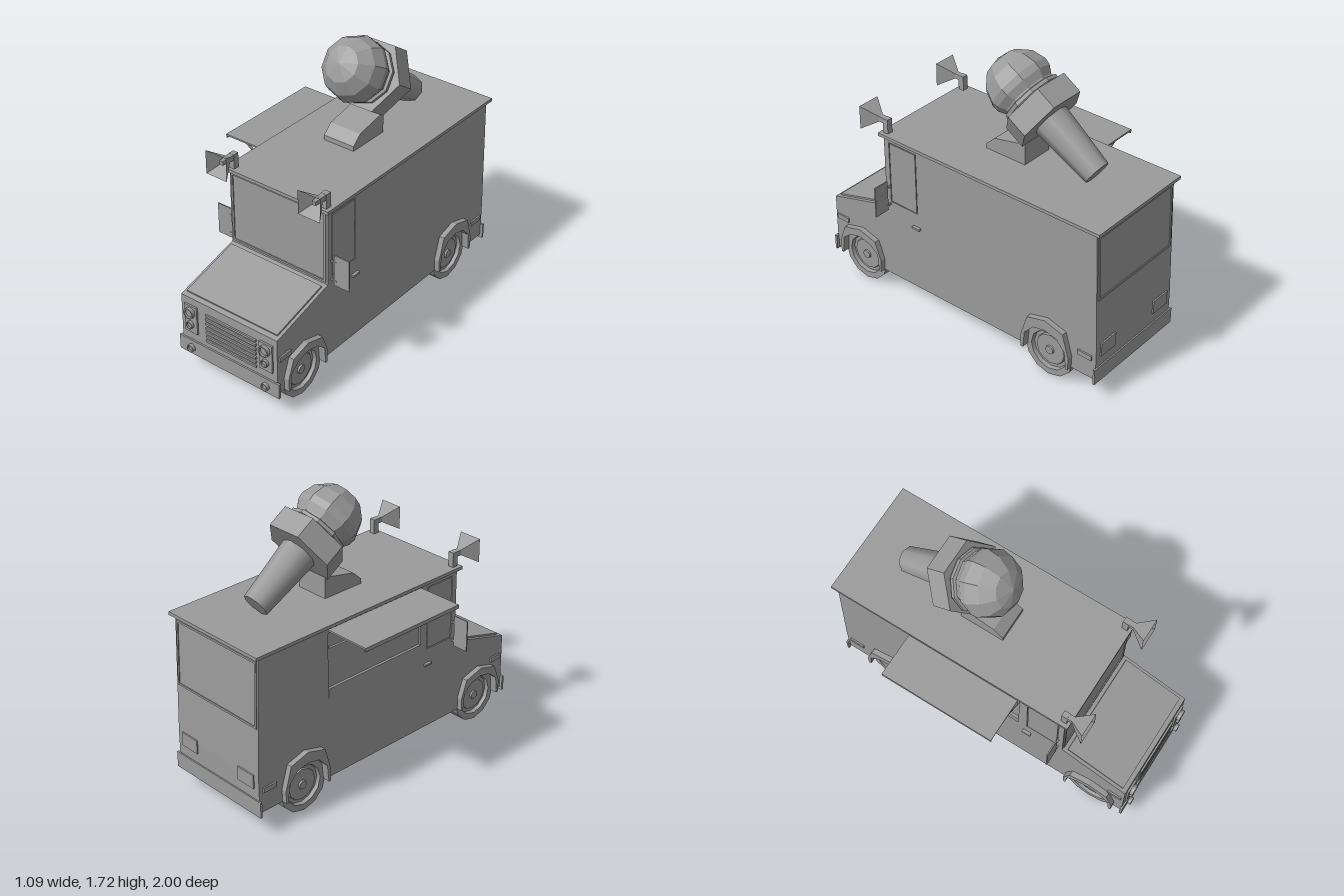
import * as THREE from 'three';
import { toCreasedNormals } from 'three/addons/utils/BufferGeometryUtils.js';

const COLOR = 0x9b9b9b;
const grey = new THREE.MeshStandardMaterial({ color: COLOR });
const flat = new THREE.MeshStandardMaterial({ color: COLOR, flatShading: true });
const thin = new THREE.MeshStandardMaterial({ color: COLOR, flatShading: true, side: THREE.DoubleSide });

function add(parent, name, geo, x = 0, y = 0, z = 0, mat = grey) {
  const m = new THREE.Mesh(geo, mat);
  m.name = name;
  m.position.set(x, y, z);
  parent.add(m);
  return m;
}
const box = (w, h, d) => new THREE.BoxGeometry(w, h, d);
const polygon = (pts, Type = THREE.Shape) => new Type(pts.map(([a, b]) => new THREE.Vector2(a, b)));
const rect = (x0, x1, y0, y1) => [[x0, y0], [x1, y0], [x1, y1], [x0, y1]];

// Side outline given as [z, y], swept across the width from x0 to x1
function sideExtrude(pts, x0, x1, holes = []) {
  const s = polygon(pts);
  for (const h of holes) s.holes.push(polygon(h, THREE.Path));
  return new THREE.ExtrudeGeometry(s, { depth: x1 - x0, bevelEnabled: false })
    .rotateY(-Math.PI / 2).translate(x1, 0, 0);
}

// Rectangular frame facing +z
function frame(w, h, t, d) {
  const s = polygon(rect(-w / 2, w / 2, -h / 2, h / 2));
  s.holes.push(polygon(rect(t - w / 2, w / 2 - t, t - h / 2, h / 2 - t), THREE.Path));
  return new THREE.ExtrudeGeometry(s, { depth: d, bevelEnabled: false });
}

const lathe = (pts, n) => new THREE.LatheGeometry(pts.map(([r, y]) => new THREE.Vector2(r, y)), n);

// Round lamp with a raised rim, facing +z
const lamp = (r, d) => toCreasedNormals(
  lathe([[0, 0], [r, 0], [r, d], [r * 0.78, d], [r * 0.7, d * 0.6], [0, d * 0.75]], 12).rotateX(Math.PI / 2), 0.7);

const WHEELS = [[0.745, 'front', 0], [-0.66, 'rear', 0.03]];
const HALF = 0.342;
const SKIN = 0.012;

function addBody(g) {
  const arch = (z, e) => [[z - 0.165, 0.14], [z - 0.15, 0.25], [z - 0.085, 0.31 + e / 2],
    [z, 0.325 + e / 2], [z + 0.085, 0.31 + e / 2], [z + 0.15, 0.25], [z + 0.165, 0.14]];
  const outline = [[-0.99, 0.14], ...arch(-0.66, 0.03), ...arch(0.745, 0), [0.968, 0.14],
    [0.965, 0.5], [0.535, 0.62], [0.535, 1.09], [-0.965, 1.09], [-0.99, 0.35]];
  const hatch = rect(-0.475, 0.24, 0.65, 1.05);
  const doorHole = rect(0.295, 0.5, 0.66, 1.06);
  add(g, 'body', sideExtrude(outline, SKIN - HALF, HALF - SKIN));
  add(g, 'servingSideWall', sideExtrude(outline, -HALF, SKIN - HALF, [hatch, doorHole]));
  add(g, 'plainSideWall', sideExtrude(outline, HALF - SKIN, HALF, [doorHole]));
  add(g, 'roof', box(0.724, 0.02, 1.555), 0, 1.1, -0.217);

  // Windscreen, bonnet and rear window
  add(g, 'windscreenFrame', frame(0.66, 0.444, 0.012, 0.008), 0, 0.857, 0.533);
  const hood = add(g, 'bonnetPanel', box(0.645, 0.014, 0.39), 0, 0.564, 0.75);
  hood.rotation.x = 0.273;
  const rear = add(g, 'rearWindowFrame', frame(0.66, 0.4, 0.012, 0.006), 0, 0.865, -0.972);
  rear.rotation.set(0.034, Math.PI, 0);

  // Door windows, handles, marker lamps and wheel arch flares on both sides
  for (const s of [-1, 1]) {
    add(g, 'doorWindow', box(SKIN, 0.388, 0.193), s * (HALF - SKIN / 2), 0.86, 0.3975);
    add(g, 'doorHandle', box(0.02, 0.012, 0.055), s * (HALF + 0.008), 0.565, 0.3);
    add(g, 'frontMarker', box(0.02, 0.03, 0.09), s * HALF, 0.37, 0.905);
    add(g, 'rearMarker', box(0.02, 0.03, 0.095), s * HALF, 0.28, -0.917);
    for (const [z, name, e] of WHEELS) {
      const outer = [[z + 0.165, 0.14], [z + 0.168, 0.22], [z + 0.125, 0.335 + e],
        [z, 0.37 + e], [z - 0.125, 0.335 + e], [z - 0.168, 0.22], [z - 0.165, 0.14]];
      const inner = [[z - 0.15, 0.14], [z - 0.14, 0.25], [z - 0.08, 0.3 + e / 2],
        [z, 0.318 + e / 2], [z + 0.08, 0.3 + e / 2], [z + 0.14, 0.25], [z + 0.15, 0.14]];
      const a = s > 0 ? 0.32 : -0.375;
      add(g, name + 'ArchFlare', sideExtrude([...outer, ...inner], a, a + 0.055));
    }
  }
}

function addFrontAndRear(g) {
  for (let i = 0; i < 7; i++)
    add(g, 'grilleSlat', box(0.36, 0.014, 0.012), 0.018, 0.263 + i * 0.029, 0.97);
  add(g, 'frontBumper', box(0.72, 0.095, 0.015), 0, 0.172, 0.97);
  add(g, 'rearBumper', box(0.72, 0.1, 0.012), 0, 0.17, -0.992);
  for (const s of [-1, 1]) {
    const x = s * 0.269;
    add(g, 'headlampPanel', box(0.09, 0.18, 0.014), x, 0.365, 0.97);
    add(g, 'headlamp', lamp(0.035, 0.026), x, 0.412, 0.972);
    add(g, 'indicatorLamp', lamp(0.024, 0.022), x, 0.33, 0.972);
    add(g, 'fogLamp', lamp(0.024, 0.022), x, 0.17, 0.976);
    add(g, 'tailLamp', box(0.13, 0.085, 0.02), s * 0.24, 0.328, -0.988);
  }
}

function addWheels(g) {
  const tyre = toCreasedNormals(lathe([[0, -0.0675], [0.165, -0.0675], [0.165, 0.0675],
    [0.125, 0.0675], [0.12, 0.045], [0.1, 0.045], [0.096, 0.055], [0.028, 0.055],
    [0.026, 0.066], [0, 0.066]], 12).rotateZ(-Math.PI / 2), 0.6);
  const axle = new THREE.CylinderGeometry(0.012, 0.012, 0.42, 8).rotateZ(Math.PI / 2);
  for (const [z, name] of WHEELS) {
    add(g, name + 'Axle', axle, 0, 0.165, z);
    for (const s of [-1, 1]) {
      const w = add(g, name + 'Wheel', tyre, s * 0.263, 0.165, z);
      if (s < 0) w.rotation.y = Math.PI;
    }
  }
}

function addMirrorsAndHorns(g) {
  const flare = new THREE.CylinderGeometry(0.103, 0.022, 0.095, 4, 1, true)
    .rotateY(Math.PI / 4).rotateX(Math.PI / 2);
  for (const s of [-1, 1]) {
    // Wing mirror on two arms
    add(g, 'mirror', box(0.1, 0.195, 0.008), s * 0.415, 0.712, 0.505);
    for (const y of [0.645, 0.765])
      add(g, 'mirrorArm', box(0.05, 0.01, 0.01), s * 0.355, y, 0.505);
    // Roof loudspeaker horn
    const x = s * 0.32;
    add(g, 'hornPost', box(0.036, 0.09, 0.036), x, 1.155, 0.523);
    add(g, 'hornNeck', box(0.032, 0.032, 0.06), x, 1.183, 0.555);
    add(g, 'hornFlare', flare, x, 1.183, 0.618, thin);
    add(g, 'hornCore', box(0.025, 0.025, 0.05), x, 1.183, 0.6);
  }
}

// Awning, struts and counter of the serving hatch
function addHatch(g) {
  add(g, 'awning', box(0.29, 0.01, 0.715), -0.484, 1.07, -0.117);
  add(g, 'awningLip', box(0.008, 0.02, 0.715), -0.625, 1.062, -0.117);
  for (const z of [-0.465, 0.23]) {
    const strut = add(g, 'awningStrut', box(0.18, 0.01, 0.01), -0.414, 1.017, z);
    strut.rotation.z = -0.62;
  }
  add(g, 'counter', box(0.02, 0.06, 0.715), -0.336, 0.68, -0.117);
}

// Giant tilted ice cream cone on a wedge-shaped stand
function addCone(g) {
  add(g, 'coneStand', sideExtrude([[-0.285, 1.1], [-0.01, 1.1], [-0.01, 1.14], [-0.07, 1.195],
    [-0.285, 1.24]], -0.116, 0.092));
  const cone = new THREE.Group();
  cone.name = 'iceCreamCone';
  cone.position.set(-0.012, 1.386, -0.377);
  cone.rotation.x = 0.99;
  g.add(cone);
  add(cone, 'coneStem', new THREE.CylinderGeometry(0.108, 0.079, 0.39, 8), 0, -0.185, 0);
  add(cone, 'coneCup', new THREE.CylinderGeometry(0.223, 0.223, 0.134, 6).rotateY(Math.PI / 6), 0, 0.067, 0, flat);
  add(cone, 'scoop', lathe([[0.168, 0.13], [0.18, 0.145], [0.18, 0.165], [0.164, 0.172], [0.164, 0.182],
    [0.19, 0.225], [0.195, 0.265], [0.17, 0.345], [0.105, 0.413], [0, 0.443]], 10), 0, 0, 0, flat);
}

export function createModel() {
  const model = new THREE.Group();
  model.name = 'iceCreamVan';
  const van = new THREE.Group();
  van.name = 'van';
  van.position.x = 0.082;
  model.add(van);
  addBody(van);
  addFrontAndRear(van);
  addWheels(van);
  addMirrorsAndHorns(van);
  addHatch(van);
  addCone(van);
  return model;
}
